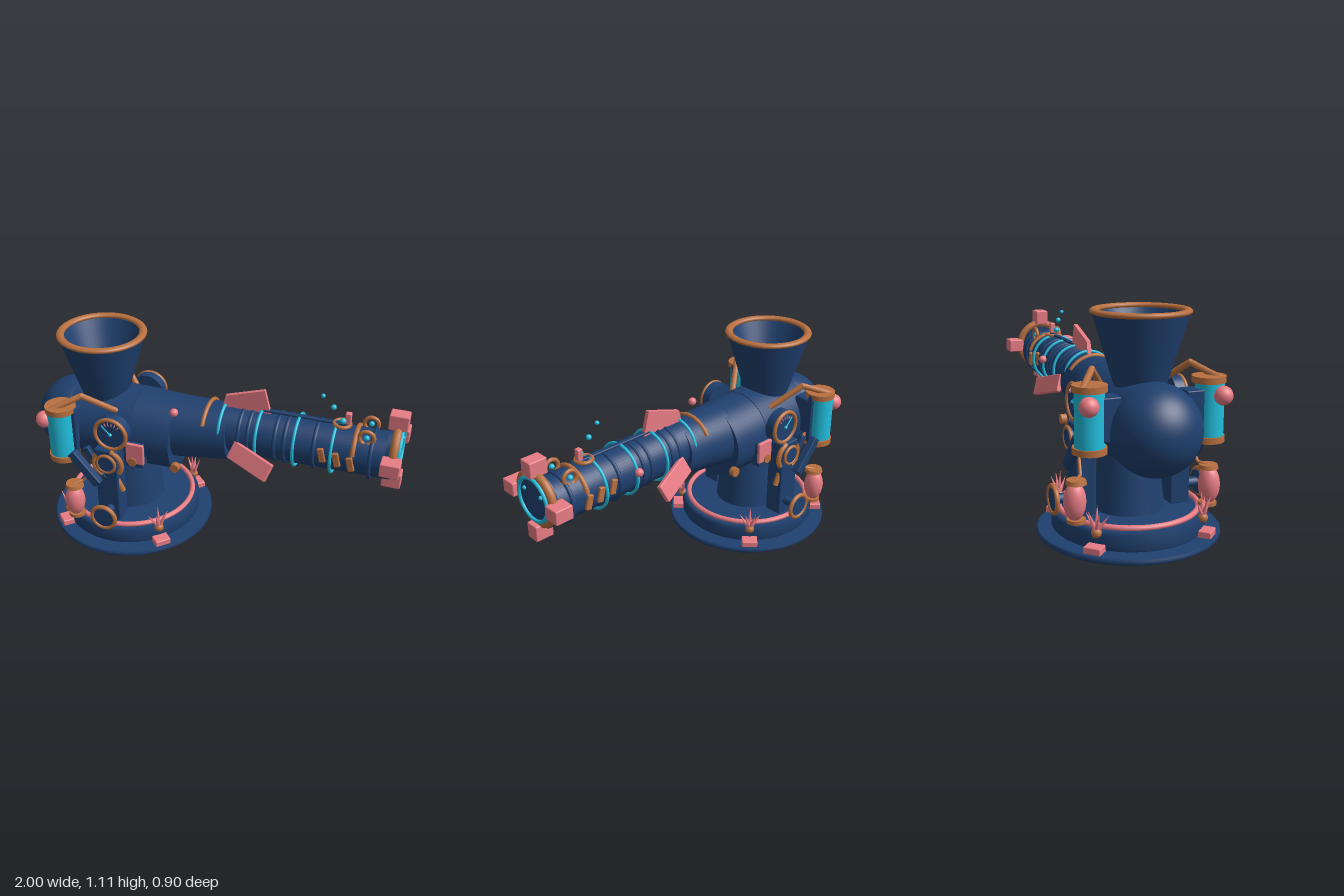
import * as THREE from 'three';
import { RoundedBoxGeometry } from 'three/addons/geometries/RoundedBoxGeometry.js';

const mat = (color, side = THREE.FrontSide) => new THREE.MeshStandardMaterial({ color, side });
const NAVY = mat(0x1f406f), NAVY2 = mat(0x1f406f, THREE.DoubleSide);
const COPPER = mat(0xb87040), PINK = mat(0xe87c84), CYAN = mat(0x22bfde);
const V = (x, y, z) => new THREE.Vector3(x, y, z);
const HALF = Math.PI / 2;

export function createModel() {
  const model = new THREE.Group();
  model.name = 'cannon';

  const add = (name, geo, m, x, y, z, rx = 0, ry = 0, rz = 0) => {
    const mesh = new THREE.Mesh(geo, m);
    mesh.name = name;
    mesh.position.set(x, y, z);
    mesh.rotation.set(rx, ry, rz);
    model.add(mesh);
    return mesh;
  };
  const box = (w, h, d, r = 0.006) => new RoundedBoxGeometry(w, h, d, 2, r);
  const cyl = (top, bottom, h, n = 40) => new THREE.CylinderGeometry(top, bottom, h, n);
  const ball = (r) => new THREE.SphereGeometry(r, 20, 14);
  // Straight tapered rod from a to b
  const rod = (name, a, b, ra, rb, m, n = 40) => {
    const d = b.clone().sub(a);
    const mesh = add(name, cyl(rb, ra, d.length(), n), m, 0, 0, 0);
    mesh.position.copy(a).addScaledVector(d, 0.5);
    mesh.quaternion.setFromUnitVectors(V(0, 1, 0), d.normalize());
    return mesh;
  };
  // Ring around the x axis, with an optional arc centred on its top
  const hoop = (name, x, y, r, t, m, arc = Math.PI * 2) => {
    const g = new THREE.TorusGeometry(r, t, 10, 48, arc);
    g.rotateZ(HALF - arc / 2);
    return add(name, g, m, x, y, 0, 0, HALF, 0);
  };
  const pipe = (name, pts, r, m) => {
    const path = new THREE.CurvePath();
    for (let i = 1; i < pts.length; i++) path.add(new THREE.LineCurve3(pts[i - 1], pts[i]));
    add(name, new THREE.TubeGeometry(path, 24, r, 10), m, 0, 0, 0);
    for (const p of pts) add(name + 'Joint', ball(r), m, p.x, p.y, p.z);
  };

  // Stepped round base
  const BX = -0.485;
  const disc = (name, r, y0, y1, b) => add(name, new THREE.LatheGeometry([
    [0, y0], [r - b, y0], [r, y0 + b], [r, y1 - b], [r - b, y1], [0, y1],
  ].map(([x, y]) => new THREE.Vector2(x, y)), 64), NAVY, BX, 0, 0);
  disc('basePlate', 0.45, 0.004, 0.036, 0.008);
  disc('baseDrum', 0.376, 0.03, 0.132, 0.015);
  add('baseRing', new THREE.TorusGeometry(0.34, 0.014, 10, 64), PINK, BX, 0.14, 0, HALF);
  add('column', cyl(0.135, 0.178, 0.36), NAVY, BX, 0.3, 0);

  // Crystal clusters and blocks around the base
  for (let i = 0; i < 4; i++) {
    const a = Math.PI / 4 + i * HALF, c = Math.cos(a), s = Math.sin(a);
    add('baseBlock', box(0.07, 0.036, 0.085), PINK, BX + 0.4 * c, 0.05, 0.4 * s, 0, -a);
    add('crystalSeat', ball(0.025), COPPER, BX + 0.38 * c, 0.122, 0.38 * s);
    for (let k = -2; k <= 2; k++) {
      const from = V(BX + 0.38 * c, 0.125, 0.38 * s);
      const lean = k * 0.028, len = 0.125 - Math.abs(k) * 0.022;
      const out = k % 2 ? 0.03 : -0.01;
      rod('crystal', from, from.clone().add(V(out * c - lean * s, len, out * s + lean * c)), 0.014, 0.001, PINK, 6);
    }
  }

  // Main body, rear dome and barrel
  add('rearDome', new THREE.SphereGeometry(0.215, 48, 32), NAVY, -0.785, 0.582, 0);
  rod('body', V(-0.785, 0.582, 0), V(-0.4, 0.586, 0), 0.213, 0.208, NAVY, 48);
  rod('bodyFront', V(-0.4, 0.586, 0), V(-0.18, 0.583, 0), 0.208, 0.2, NAVY, 48);
  rod('taper', V(-0.2, 0.622, 0), V(0.11, 0.642, 0), 0.168, 0.147, NAVY, 48);
  rod('barrel', V(0.08, 0.668, 0), V(0.94, 0.671, 0), 0.126, 0.118, NAVY, 48);
  for (const x of [0.07, 0.265, 0.46, 0.65]) hoop('glowRing', x, 0.668, 0.134, 0.008, CYAN);
  for (const x of [0.17, 0.22, 0.36, 0.41, 0.56, 0.84]) hoop('barrelBand', x, 0.668, 0.122, 0.011, NAVY);
  hoop('taperArc', -0.015, 0.64, 0.154, 0.011, COPPER, 2);
  hoop('barrelArc', 0.755, 0.67, 0.125, 0.012, COPPER, 2.6);

  // Funnel: open cone with a wide rolled rim
  add('funnel', new THREE.LatheGeometry([
    [0.118, 0.74], [0.225, 1.092], [0.2, 1.092], [0.15, 0.93], [0.1, 0.87], [0.085, 0.84], [0, 0.84],
  ].map(([x, y]) => new THREE.Vector2(x, y)), 48), NAVY2, -0.61, 0, 0);
  add('funnelRim', new THREE.TorusGeometry(0.214, 0.021, 12, 64), COPPER, -0.61, 1.097, 0, HALF).scale.z = 0.65;
  add('funnelThroatRing', new THREE.TorusGeometry(0.13, 0.012, 8, 40), NAVY, -0.61, 0.9, 0, HALF);

  // Muzzle: copper collar, glowing lip, bore and four lugs
  const MY = 0.711;
  add('muzzleBore', cyl(0.108, 0.108, 0.06), NAVY, 0.94, MY, 0, 0, 0, -HALF);
  hoop('muzzleCollar', 0.95, MY, 0.127, 0.021, COPPER);
  hoop('muzzleLip', 0.972, MY, 0.109, 0.01, CYAN);
  for (let i = 0; i < 4; i++) {
    const a = i * HALF, r = 0.167;
    add('muzzleLug', box(0.095, 0.082, 0.072), PINK, 0.948, MY + r * Math.cos(a), r * Math.sin(a), a);
  }

  // Top rail, sight, loose droplets and top fin
  add('topRail', box(0.45, 0.014, 0.026), NAVY, 0.495, 0.806, 0);
  add('sightBlock', box(0.03, 0.06, 0.03), PINK, 0.703, 0.842, 0);
  add('sightRing', new THREE.TorusGeometry(0.04, 0.01, 10, 32), COPPER, 0.675, 0.805, 0, HALF);
  for (const [x, y, z, r] of [[0.68, 0.832, 0.02, 0.016], [0.628, 0.898, 0.015, 0.014], [0.573, 0.953, 0.018, 0.011]])
    add('droplet', ball(r), CYAN, x, y, z);
  const fin = new THREE.Shape([[0.055, 0.79], [0.07, 0.855], [0.275, 0.92], [0.31, 0.79]]
    .map(([x, y]) => new THREE.Vector2(x, y)));
  add('topFin', new THREE.ExtrudeGeometry(fin, { depth: 0.022, bevelEnabled: false }), PINK, 0, 0, -0.011);
  add('frontStud', ball(0.022), PINK, -0.165, 0.778, 0.135);
  add('rearStud', ball(0.022), PINK, 0.455, 0.7, -0.137);

  // Equipment on both flanks
  for (const s of [1, -1]) {
    const flat = s > 0 ? 0 : Math.PI;

    // Glowing tank with caps, strap and bulb
    add('tank', cyl(0.068, 0.068, 0.28), CYAN, -0.735, 0.645, s * 0.295);
    for (const y of [0.787, 0.507]) add('tankCap', cyl(0.08, 0.08, 0.03), COPPER, -0.73, y, s * 0.292);
    add('tankStrap', box(0.026, 0.28, 0.026), NAVY, -0.66, 0.655, s * 0.288);
    add('tankMount', box(0.1, 0.2, 0.12), NAVY, -0.73, 0.645, s * 0.22);
    add('tankBulb', ball(0.045), PINK, -0.81, 0.72, s * 0.325);
    pipe('feedPipe', [V(-0.76, 0.79, s * 0.335), V(-0.63, 0.848, s * 0.245), V(-0.49, 0.73, s * 0.14)], 0.016, COPPER);

    // Pressure gauge
    add('gaugeBody', cyl(0.092, 0.092, 0.06), NAVY, -0.465, 0.665, s * 0.245, HALF);
    add('gaugeRim', new THREE.TorusGeometry(0.086, 0.011, 10, 40), COPPER, -0.465, 0.665, s * 0.274);
    add('gaugeNeedle', box(0.07, 0.007, 0.006, 0.002), CYAN, -0.488, 0.688, s * 0.279, 0, 0, -0.8);
    add('gaugeHub', ball(0.01), CYAN, -0.465, 0.665, s * 0.278);
    for (let k = 0; k < 6; k++) {
      const a = 0.8 + k * 0.31;
      add('gaugeTick', box(0.018, 0.005, 0.005, 0.001), PINK,
        -0.465 + 0.06 * Math.cos(a), 0.665 + 0.06 * Math.sin(a), s * 0.277, 0, 0, a);
    }

    // Support leg, pivot clamp and handwheel
    add('supportLeg', box(0.125, 0.44, 0.1), NAVY, -0.495, 0.35, s * 0.245);
    add('pivotDisc', cyl(0.05, 0.05, 0.05), NAVY, -0.485, 0.5, s * 0.29, HALF);
    add('pivotRing', new THREE.TorusGeometry(0.05, 0.009, 8, 32), COPPER, -0.485, 0.5, s * 0.31);
    for (const a of [-0.6, 2.4]) add('pivotClamp', new THREE.TorusGeometry(0.078, 0.014, 8, 24, 1.9), COPPER, -0.485, 0.49, s * 0.29, 0, 0, a);
    rod('clampTail', V(-0.455, 0.41, s * 0.27), V(-0.415, 0.32, s * 0.27), 0.015, 0.015, COPPER, 10);
    add('handwheel', new THREE.TorusGeometry(0.066, 0.012, 10, 40), COPPER, -0.485, 0.205, s * 0.385);
    add('handwheelDisc', cyl(0.06, 0.06, 0.02), NAVY, -0.485, 0.205, s * 0.38, HALF);
    rod('handwheelShaft', V(-0.485, 0.205, s * 0.28), V(-0.485, 0.205, s * 0.38), 0.025, 0.025, NAVY, 16);
    add('lever', box(0.05, 0.22, 0.042), NAVY, -0.6, 0.46, s * 0.325, 0, 0, 0.7);
    add('leverBrace', box(0.035, 0.2, 0.03), NAVY, -0.56, 0.48, s * 0.285, 0, 0, 0.5);

    // Vial with caps and feed line
    add('vial', ball(1), PINK, -0.67, 0.252, s * 0.342).scale.set(0.053, 0.092, 0.053);
    add('vialTop', cyl(0.045, 0.05, 0.02, 24), COPPER, -0.67, 0.345, s * 0.335);
    add('vialFoot', cyl(0.045, 0.045, 0.018, 24), COPPER, -0.67, 0.16, s * 0.335);
    pipe('vialLine', [V(-0.67, 0.35, s * 0.335), V(-0.63, 0.36, s * 0.3), V(-0.545, 0.46, s * 0.28)], 0.008, COPPER);

    // Body plate and bolts
    add('sideBlock', box(0.1, 0.14, 0.06), NAVY, -0.36, 0.53, s * 0.205);
    add('sidePlate', box(0.1, 0.12, 0.02), PINK, -0.352, 0.545, s * 0.232);
    for (const [x, z] of [[-0.365, 0.235], [-0.135, 0.215]])
      add('bolt', cyl(0.026, 0.026, 0.03, 8), COPPER, x, 0.498, s * z, HALF);

    // Swept side fin
    const finMesh = add('sideFin', box(0.24, 0.1, 0.026), PINK, 0.255, 0.595, s * 0.17);
    finMesh.rotation.set(-s * 0.4, -s * 0.2, -0.27, 'YXZ');

    // Clamp plates and eyelet near the muzzle
    [0.605, 0.68, 0.75].forEach((x, i) =>
      add('clampPlate', box(0.033, 0.078, 0.02), COPPER, x, 0.678 - i * 0.011, s * 0.122, 0, flat, s * 0.25));
    add('eyelet', new THREE.TorusGeometry(0.036, 0.01, 10, 28), COPPER, 0.81, 0.79, s * 0.07);
    add('eyeletBead', ball(0.014), CYAN, 0.81, 0.79, s * 0.07);
    add('boreBead', ball(0.011), CYAN, 0.97, 0.748, s * 0.063);
  }
  return model;
}
